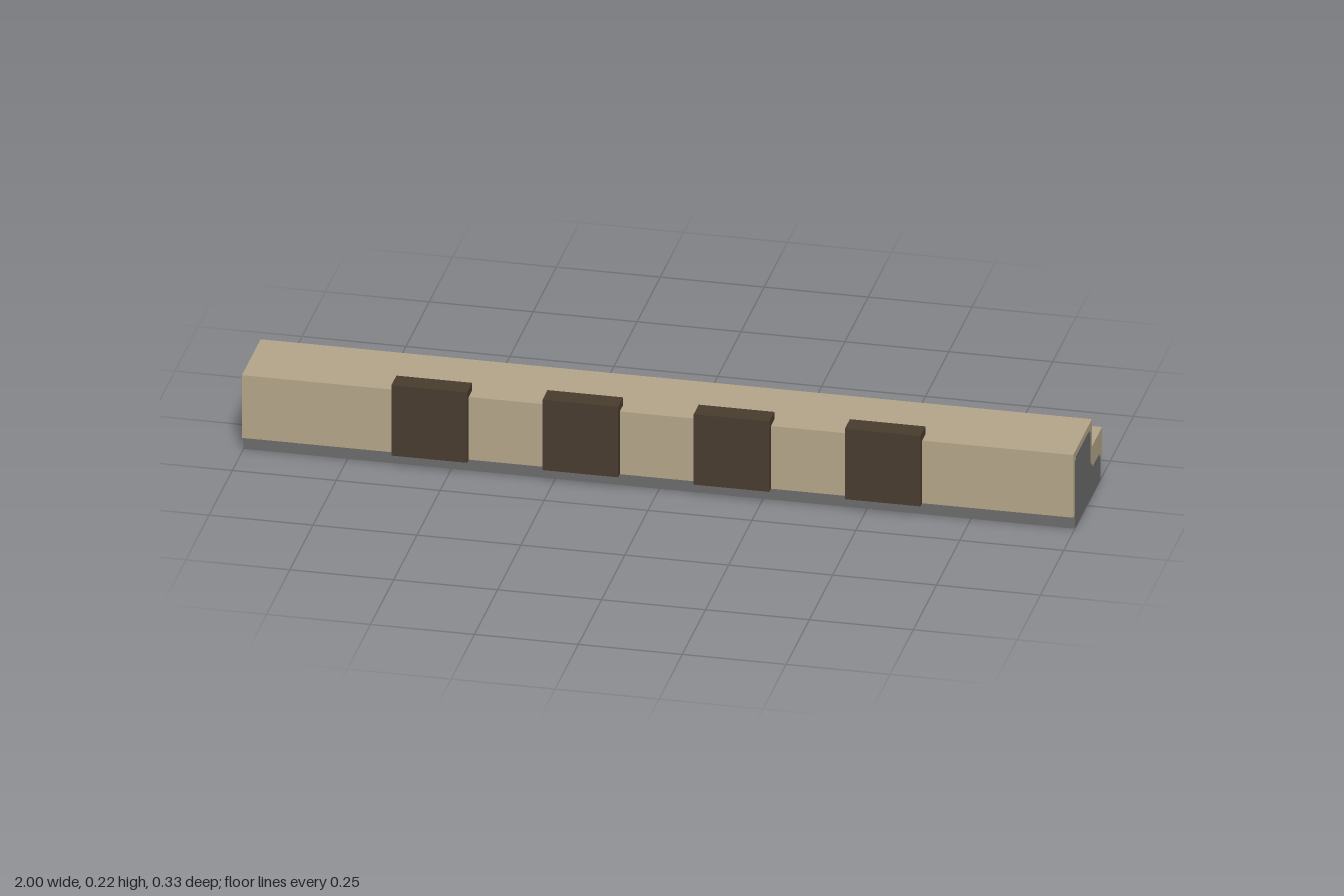
import * as THREE from 'three';

const LENGTH = 2;

// Extrude a (z, y) profile along the full length in x
function extrudeAlongX(points, material, name) {
  const shape = new THREE.Shape(points.map(([z, y]) => new THREE.Vector2(z, y)));
  const geometry = new THREE.ExtrudeGeometry(shape, { depth: LENGTH, bevelEnabled: false });
  geometry.rotateY(-Math.PI / 2).translate(LENGTH / 2, 0, 0);
  const mesh = new THREE.Mesh(geometry, material);
  mesh.name = name;
  return mesh;
}

export function createModel() {
  const stone = new THREE.MeshStandardMaterial({ color: 0xb2a488 });
  stone.name = 'sandy stone';
  const core = new THREE.MeshStandardMaterial({ color: 0x6b6b6b });
  core.name = 'grey core';
  const wood = new THREE.MeshStandardMaterial({ color: 0x483b2e });
  wood.name = 'dark brown';

  // Seam shared by core and cladding, from the front over the top to the back
  const seam = [
    [0.129, 0.037], [0.129, 0.175], [0.12, 0.175], [0.12, 0.183],
    [-0.028, 0.183], [-0.028, 0.175], [-0.036, 0.175], [-0.036, 0.1],
    [-0.04, 0.1], [-0.04, 0.092], [-0.046, 0.092], [-0.046, 0.086],
    [-0.053, 0.086], [-0.053, 0.08], [-0.061, 0.08], [-0.061, 0.073],
    [-0.137, 0.073], [-0.137, 0.064], [-0.145, 0.064], [-0.145, 0.056],
  ];

  const group = new THREE.Group();
  group.name = 'steppedLedge';

  // Inner core, standing on the ground
  group.add(extrudeAlongX([[0.129, 0], ...seam, [-0.145, 0]], core, 'core'));

  // Stepped cladding wrapped over the core
  group.add(extrudeAlongX([
    ...seam, [-0.163, 0.056], [-0.163, 0.129], [-0.054, 0.129],
    [-0.054, 0.2], [0.147, 0.2], [0.147, 0.037],
  ], stone, 'cladding'));

  // Four blocks hooked over the front edge, spaced on an eleven-part grid
  const unit = LENGTH / 11;
  for (let i = 0; i < 4; i++) {
    const block = new THREE.Mesh(new THREE.BoxGeometry(unit, 0.183, 0.054), wood);
    block.position.set((i - 1.5) * 2 * unit, 0.1285, 0.138);
    block.name = `frontBlock${i + 1}`;
    group.add(block);
  }
  return group;
}
